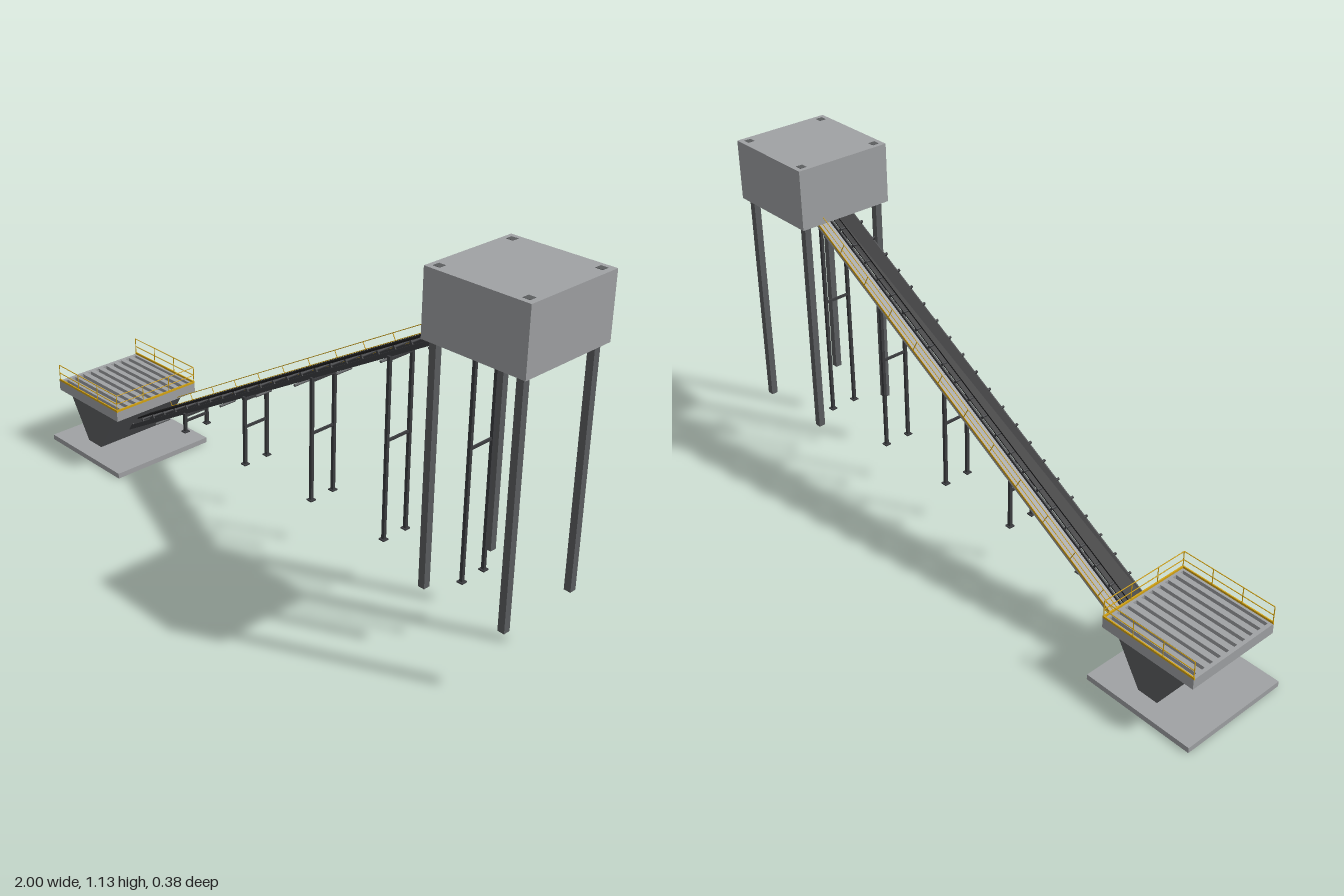
import * as THREE from 'three';

const mat = (name, color, side = THREE.FrontSide) => {
  const m = new THREE.MeshStandardMaterial({ color, side });
  m.name = name;
  return m;
};

export function createModel() {
  const light = mat('light grey cladding', 0xa0a2a4);
  const steel = mat('dark steel', 0x5c5e60);
  const rubber = mat('black rubber', 0x1c1c1e);
  const yellow = mat('safety yellow', 0xd6a514);
  const frame = mat('charcoal frame', 0x3c3d40);

  const model = new THREE.Group();
  model.name = 'inclinedConveyor';

  const group = (parent, name) => {
    const g = new THREE.Group();
    g.name = name;
    parent.add(g);
    return g;
  };
  // Box given by its minimum and maximum on each axis
  const box = (parent, name, m, x0, x1, y0, y1, z0, z1) => {
    const mesh = new THREE.Mesh(new THREE.BoxGeometry(x1 - x0, y1 - y0, z1 - z0), m);
    mesh.position.set((x0 + x1) / 2, (y0 + y1) / 2, (z0 + z1) / 2);
    mesh.name = name;
    parent.add(mesh);
    return mesh;
  };
  // Round bar lying along z
  const roller = (parent, name, m, x, y, r, z0, z1) => {
    const mesh = new THREE.Mesh(new THREE.CylinderGeometry(r, r, z1 - z0, 12), m);
    mesh.rotation.x = Math.PI / 2;
    mesh.position.set(x, y, (z0 + z1) / 2);
    mesh.name = name;
    parent.add(mesh);
  };
  // Thin straight tube between two points
  const tube = (parent, name, a, b, r) => {
    const p = new THREE.Vector3(...a), q = new THREE.Vector3(...b);
    const mesh = new THREE.Mesh(new THREE.CylinderGeometry(r, r, p.distanceTo(q), 6), yellow);
    mesh.position.copy(p).add(q).multiplyScalar(0.5);
    mesh.quaternion.setFromUnitVectors(new THREE.Vector3(0, 1, 0), q.sub(p).normalize());
    mesh.name = name;
    parent.add(mesh);
  };
  // Handrail with posts, top rail and mid rail along a straight run
  const handrail = (parent, a, b, height, posts, r) => {
    const g = group(parent, 'handrail');
    const up = (p, h) => [p[0], p[1] + h, p[2]];
    for (let i = 0; i <= posts; i++) {
      const p = a.map((v, k) => v + (b[k] - v) * i / posts);
      tube(g, 'railPost', p, up(p, height), r);
    }
    tube(g, 'topRail', up(a, height), up(b, height), r);
    tube(g, 'midRail', up(a, height / 2), up(b, height / 2), r);
  };

  // Foundation slab
  box(model, 'foundationSlab', light, -1, -0.62, 0, 0.018, -0.19, 0.19);

  // Feed hopper: wedge-shaped trough under a grated deck
  const hopper = group(model, 'feedHopper');
  const wedge = new THREE.Shape([[-0.94, 0.195], [-0.845, 0.042], [-0.775, 0.042], [-0.68, 0.195]]
    .map(p => new THREE.Vector2(...p)));
  const trough = new THREE.Mesh(
    new THREE.ExtrudeGeometry(wedge, { depth: 0.294, bevelEnabled: false }), steel);
  trough.position.z = -0.147;
  trough.name = 'hopperTrough';
  hopper.add(trough);

  // Deck with a raised rim and grizzly bars
  const X0 = -0.975, X1 = -0.645, Z = 0.165;
  box(hopper, 'deckPlate', light, X0, X1, 0.195, 0.216, -Z, Z);
  for (const s of [-1, 1]) {
    box(hopper, 'deckRim', light, X0, X1, 0.216, 0.229, s * 0.159 - 0.006, s * 0.159 + 0.006);
    const xm = s < 0 ? X0 + 0.006 : X1 - 0.006;
    box(hopper, 'deckRim', light, xm - 0.006, xm + 0.006, 0.216, 0.229, -0.153, 0.153);
  }
  for (let i = 0; i < 9; i++) {
    const z = -0.132 + i * 0.033;
    box(hopper, 'grizzlyBar', light, X0 + 0.012, X1 - 0.012, 0.216, 0.229, z - 0.009, z + 0.009);
  }

  // Deck railing on three sides, open at the loading end
  for (const s of [-1, 1]) {
    box(hopper, 'toeBoard', yellow, X0, X1, 0.227, 0.236, s * 0.163 - 0.002, s * 0.163 + 0.002);
    handrail(hopper, [X0 + 0.002, 0.229, s * 0.163], [X1 - 0.002, 0.229, s * 0.163], 0.059, 3, 0.0015);
  }
  box(hopper, 'toeBoard', yellow, X1 - 0.004, X1, 0.227, 0.236, -0.161, 0.161);
  handrail(hopper, [X1 - 0.002, 0.229, -0.163], [X1 - 0.002, 0.229, 0.163], 0.059, 3, 0.0015);

  // Inclined conveyor, built level and then tilted
  const slope = 0.57, baseY = 0.505, tilt = Math.atan(slope);
  const conveyor = group(model, 'conveyor');
  conveyor.position.y = baseY;
  conveyor.rotation.z = tilt;
  const L = 0.86;

  // Belt runs, end pulleys and side stringers
  box(conveyor, 'carryingBelt', rubber, -L, L, 0.03, 0.035, -0.026, 0.028);
  box(conveyor, 'returnBelt', rubber, -L, L, 0.003, 0.007, -0.026, 0.028);
  for (const s of [-1, 1]) {
    roller(conveyor, 'endPulley', rubber, s * L, 0.019, 0.016, -0.026, 0.028);
    box(conveyor, 'stringer', frame, -L, L, 0.004, 0.018, s * 0.041 - 0.003, s * 0.041 + 0.003);
  }
  // Carrying idlers with brackets
  for (let i = 0; i < 25; i++) {
    const x = -0.83 + i * 0.0692;
    roller(conveyor, 'carryingIdler', frame, x, 0.026, 0.004, -0.042, 0.044);
    for (const s of [-1, 1])
      box(conveyor, 'idlerBracket', frame, x - 0.003, x + 0.003, 0.018, 0.031, s * 0.041 - 0.002, s * 0.041 + 0.002);
  }
  // Return idlers below the belt
  for (let i = 0; i < 9; i++)
    roller(conveyor, 'returnIdler', steel, -0.71 + i * 0.197, -0.003, 0.004, -0.03, 0.032);

  // Walkway beside the belt
  box(conveyor, 'walkway', light, -L, L, 0.002, 0.009, -0.089, -0.044);
  box(conveyor, 'walkwayToeBoard', yellow, -L + 0.1, L - 0.04, 0.009, 0.016, -0.089, -0.087);
  handrail(conveyor, [-L + 0.1, 0.009, -0.088], [L - 0.04, 0.009, -0.088], 0.046, 12, 0.0013);

  // Trestle legs with foot plates and a cross tie
  for (const x of [-0.436, -0.14, 0.158, 0.457, 0.75]) {
    const trestle = group(model, 'trestle');
    const top = baseY + slope * x + 0.008;
    for (const z of [-0.045, 0.045]) {
      box(trestle, 'trestleLeg', frame, x - 0.005, x + 0.005, 0.2, top, z - 0.005, z + 0.005);
      box(trestle, 'footPlate', frame, x - 0.01, x + 0.01, 0.197, 0.201, z - 0.01, z + 0.01);
    }
    const mid = 0.2 + (top - 0.2) * 0.55;
    box(trestle, 'crossTie', frame, x - 0.003, x + 0.003, mid - 0.004, mid + 0.004, -0.042, 0.042);
    box(trestle, 'headBeam', frame, x - 0.004, x + 0.004, top - 0.014, top - 0.006, -0.05, 0.05);
  }

  // Discharge tower: clad house on four columns
  const tower = group(model, 'dischargeTower');
  box(tower, 'towerHouse', light, 0.67, 1, 0.93, 1.125, -Z, Z);
  for (const x of [0.696, 0.972])
    for (const z of [-0.138, 0.138])
      box(tower, 'towerColumn', steel, x - 0.011, x + 0.011, 0.2, 1.126, z - 0.011, z + 0.011);

  return model;
}
